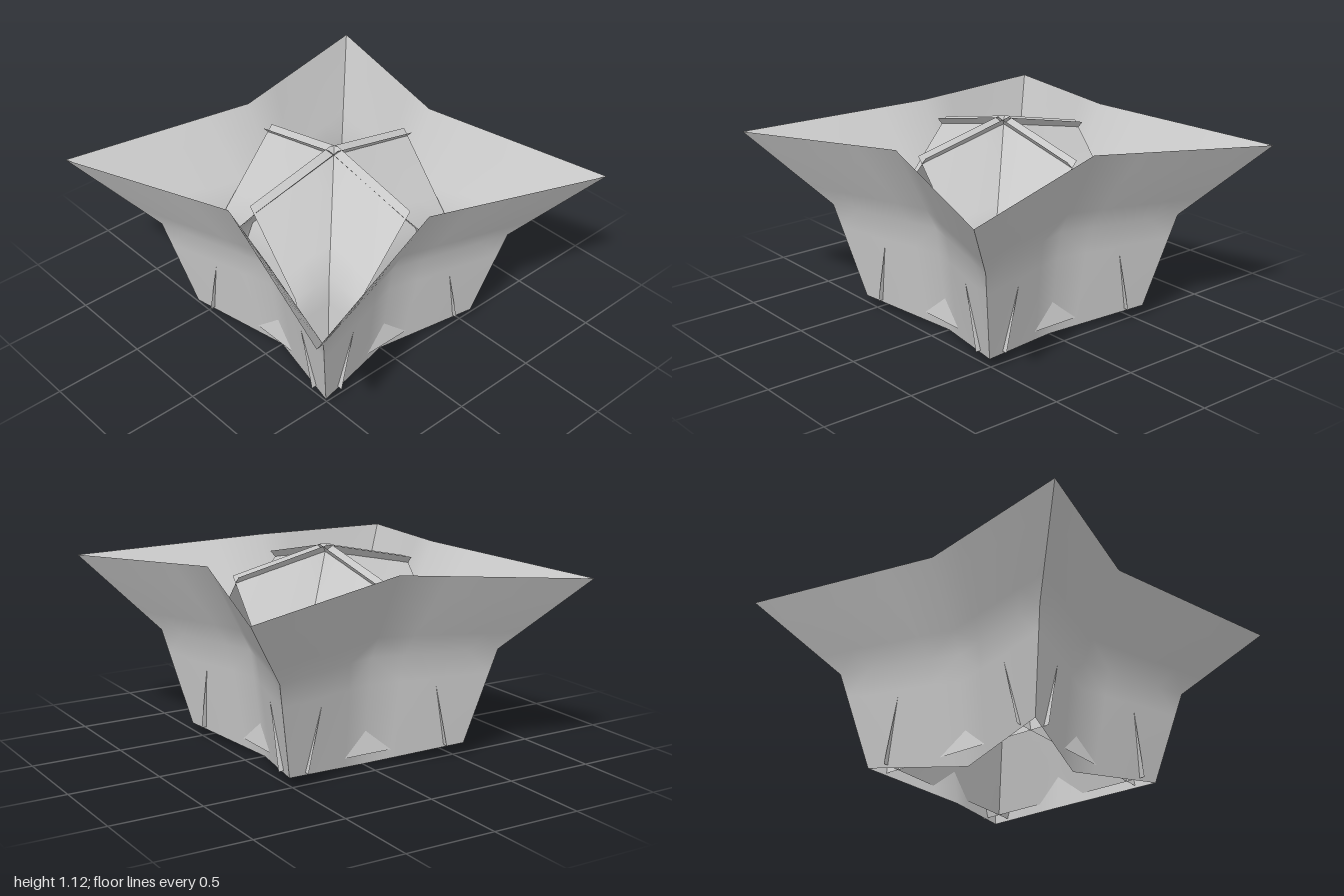
import * as THREE from 'three';

const material = new THREE.MeshStandardMaterial({ color: 0xcccccc, side: THREE.DoubleSide });

// Sheet mirrored about x = 0, spanned between a centre profile and an end profile of [x, y, z] points.
function sheet(centre, end, steps = 4) {
  const positions = [], index = [];
  const cols = steps * 2 + 1;
  const rows = (centre.length - 1) * steps + 1;
  for (let r = 0; r < rows; r++) {
    const seg = Math.min(Math.floor(r / steps), centre.length - 2);
    const t = r / steps - seg;
    const mid = new THREE.Vector3(...centre[seg]).lerp(new THREE.Vector3(...centre[seg + 1]), t);
    const side = new THREE.Vector3(...end[seg]).lerp(new THREE.Vector3(...end[seg + 1]), t);
    for (let c = 0; c < cols; c++) {
      const u = c / steps - 1;
      const p = mid.clone().lerp(side, Math.abs(u));
      positions.push(Math.sign(u) * p.x, p.y, p.z);
    }
  }
  for (let r = 0; r < rows - 1; r++) {
    for (let c = 0; c < cols - 1; c++) {
      const a = r * cols + c, b = a + 1, d = a + cols, e = d + 1;
      // diagonals mirrored about the centre line
      if (c < steps) index.push(a, d, b, b, d, e);
      else index.push(a, d, e, a, e, b);
    }
  }
  const geometry = new THREE.BufferGeometry();
  geometry.setAttribute('position', new THREE.Float32BufferAttribute(positions, 3));
  geometry.setIndex(index);
  geometry.computeVertexNormals();
  return geometry;
}

export function createModel() {
  const model = new THREE.Group();
  model.name = 'starCanopy';

  // Flared outer wall: pinched in at the middle, pointed at the corners
  const wall = sheet(
    [[0, 1.07, 0.7], [0, 0.6, 0.46], [0, 0, 0.38]],
    [[1, 1, 1], [0.66, 0.6, 0.66], [0.54, 0.07, 0.54]]
  );

  // Bent roof panel: reaches slightly past the ridge, steep towards the eave
  const panel = sheet(
    [[0, 1.12, -0.03], [0, 0.66, 0.31], [0, 0.07, 0.43]],
    [[0.54, 1.0, -0.03], [0.54, 0.6, 0.31], [0.54, 0.07, 0.43]]
  );

  // Four of each make the shell and the two crossing gables
  for (let i = 0; i < 4; i++) {
    for (const [name, geometry] of [['outerWall', wall], ['roofPanel', panel]]) {
      const mesh = new THREE.Mesh(geometry, material);
      mesh.name = name + (i + 1);
      mesh.rotation.y = i * Math.PI / 2;
      model.add(mesh);
    }
  }
  return model;
}
